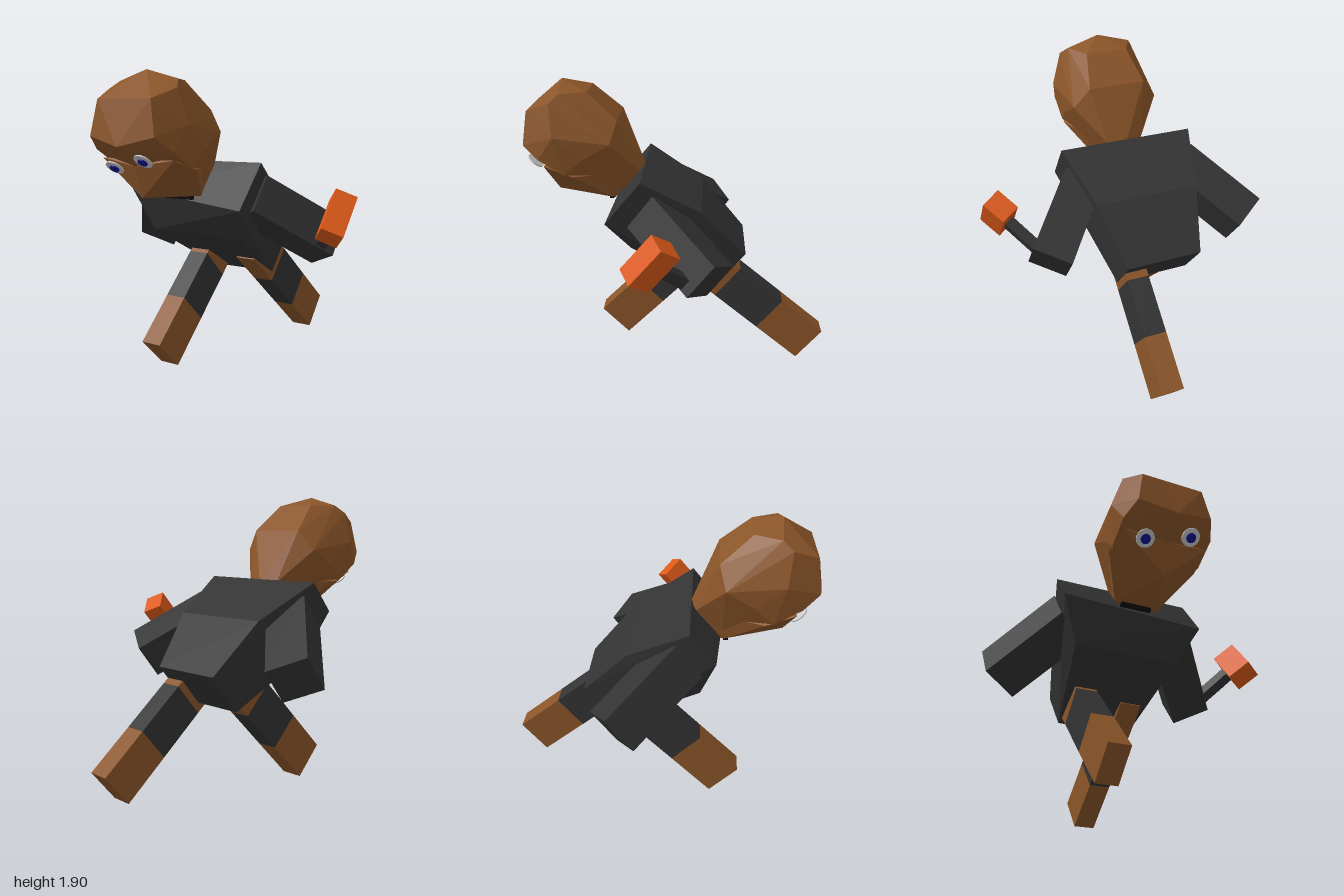
import * as THREE from 'three';
import { ConvexGeometry } from 'three/addons/geometries/ConvexGeometry.js';

const V = (x, y, z) => new THREE.Vector3(x, y, z);
const mat = (color) => new THREE.MeshStandardMaterial({ color, flatShading: true, roughness: 0.9 });
const CX = -0.12; // middle of the body in x

export function createModel() {
  const group = new THREE.Group();
  const cloth = mat(0x333333), skin = mat(0x8b5529), orange = mat(0xdd5a18);
  const white = mat(0xdddddd), navy = mat(0x101090), black = mat(0x0a0a0a);

  const add = (name, geometry, material) => {
    const mesh = new THREE.Mesh(geometry, material);
    mesh.name = name;
    group.add(mesh);
    return mesh;
  };
  const hull = (name, points, material) => add(name, new ConvexGeometry(points), material);

  // Box of section w x d running from a to b; side is the direction of w
  const beam = (name, a, b, side, w, d, material) => {
    const axis = b.clone().sub(a);
    const mesh = add(name, new THREE.BoxGeometry(w, axis.length(), d), material);
    const y = axis.clone().normalize();
    const x = side.clone().addScaledVector(y, -side.dot(y)).normalize();
    mesh.quaternion.setFromRotationMatrix(new THREE.Matrix4().makeBasis(x, y, x.clone().cross(y)));
    mesh.position.copy(a).add(b).multiplyScalar(0.5);
    return mesh;
  };

  // Points given as half width, y, z and mirrored about the body's middle
  const mirrored = (list) => list.flatMap(([w, y, z]) =>
    w ? [V(CX - w, y, z), V(CX + w, y, z)] : [V(CX, y, z)]);

  // Leaning torso: wide shoulders, bent middle, narrow waist
  hull('torso', [
    V(-0.58, 1.355, 0.21), V(0.33, 1.36, 0.21), V(-0.58, 1.165, 0.37), V(0.32, 1.085, 0.435),
    V(-0.465, 0.885, 0.28), V(0.225, 0.885, 0.28), V(-0.465, 1.135, -0.17), V(0.225, 1.135, -0.17),
    V(-0.37, 0.57, -0.26), V(0.13, 0.57, -0.26), V(-0.37, 0.815, -0.46), V(0.13, 0.815, -0.46),
  ], cloth);

  // Arms swept out, down and back
  for (const s of [-1, 1]) {
    const end = V(CX + s * 0.69, 0.828, -0.23);
    const start = end.clone().add(V(-s * 0.348, 0.3, 0.384));
    beam(s > 0 ? 'leftArm' : 'rightArm', start, end, V(0, -0.788, 0.615), 0.26, 0.26, cloth);
  }

  // Legs: bare foot, dark shin, bare thigh; cuts are distances from the foot end
  const leg = (name, x, foot, dir, cuts) => {
    ['Foot', 'Shin', 'Thigh'].forEach((part, i) => {
      const at = (t) => V(x, foot[0] + dir[0] * t, foot[1] + dir[1] * t);
      beam(name + part, at(cuts[i]), at(cuts[i + 1]), V(1, 0, 0), 0.145, 0.26, i === 1 ? cloth : skin);
    });
  };
  leg('rightLeg', -0.2875, [0.1, 0.457], [0.707, -0.707], [0, 0.365, 0.73, 0.95]);
  leg('leftLeg', 0.0525, [0.137, -0.915], [0.635, 0.772], [0, 0.362, 0.735, 1.03]);

  // Skull, tapering back to the neck
  hull('skull', mirrored([
    [0, 1.91, 0.735], [0.22, 1.85, 0.72], [0.26, 1.8, 0.78], [0.14, 1.85, 0.56],
    [0.325, 1.6, 0.757], [0.19, 1.68, 0.37], [0.29, 1.55, 0.41],
    [0.12, 1.34, 0.24], [0, 1.34, 0.205], [0.13, 1.16, 0.4],
    [0.2, 1.74, 0.935], [0.24, 1.53, 0.96], [0, 1.475, 1.0],
    [0.3, 1.455, 0.58], [0.29, 1.45, 0.86], [0, 1.36, 0.855], [0.29, 1.35, 0.7],
  ]), skin);

  // Jaw with a pointed chin
  hull('jaw', mirrored([
    [0.27, 1.4, 0.83], [0, 1.36, 0.855], [0, 1.17, 0.79], [0.29, 1.34, 0.65],
    [0.15, 1.165, 0.42], [0.13, 1.155, 0.4], [0.12, 1.33, 0.26],
  ]), skin);

  // Round flat eyes facing forward and down under the brow
  const gaze = V(0, -0.77, 0.64).normalize();
  const disc = (name, centre, radius, lift, material) => {
    const mesh = add(name, new THREE.CylinderGeometry(radius, radius, 0.008, 20), material);
    mesh.quaternion.setFromUnitVectors(V(0, 1, 0), gaze);
    mesh.position.copy(centre).addScaledVector(gaze, lift);
  };
  for (const [side, centre] of [['right', V(-0.27, 1.347, 0.857)], ['left', V(0, 1.395, 0.915)]]) {
    disc(side + 'Eye', centre, 0.057, 0, white);
    disc(side + 'Iris', centre.clone().add(V(0, -0.002, 0)), 0.03, 0.007, navy);
  }

  // Thin mouth strip under the chin
  add('mouth', new THREE.BoxGeometry(0.2, 0.022, 0.03), black).position.set(-0.13, 1.142, 0.43);

  // Hammer held in the left hand
  const centre = V(0.795, 1.045, 0.115), shaft = V(0.57, 0.6, 0.56).normalize();
  const long = V(0, 0.215, -0.183);
  const half = long.clone().multiplyScalar(0.5);
  beam('hammerHead', centre.clone().sub(half), centre.clone().add(half), shaft, 0.165, 0.138, orange);
  beam('hammerHandle', centre.clone().addScaledVector(shaft, -0.38), centre, long, 0.075, 0.07, cloth);

  return group;
}
